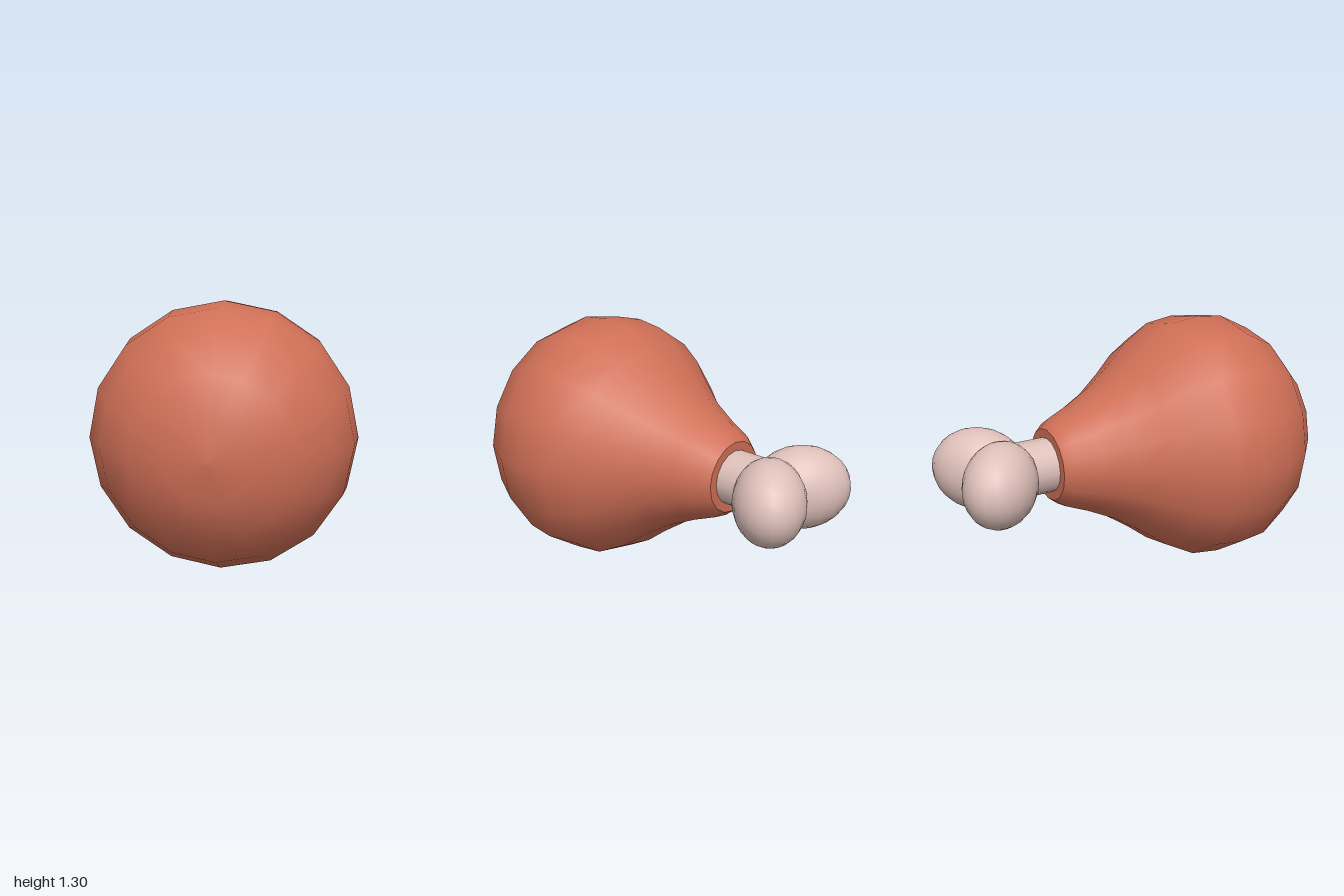
import * as THREE from 'three';

const meat = new THREE.MeshStandardMaterial({ color: 0xcf6f56 });
meat.name = 'roastedMeat';
const bone = new THREE.MeshStandardMaterial({ color: 0xdfc0ba });
bone.name = 'paleBone';

function addPart(parent, name, geometry, material) {
  const mesh = new THREE.Mesh(geometry, material);
  mesh.name = name;
  parent.add(mesh);
  return mesh;
}

export function createModel() {
  const model = new THREE.Group();
  model.name = 'drumstick';

  // Everything shares one axis, tilted slightly about the widest ring
  const axis = new THREE.Group();
  axis.name = 'drumstickAxis';
  axis.position.set(0, 0.655, 0.42);
  axis.rotation.y = 0.022;
  model.add(axis);

  // Pear-shaped meat: [radius, distance along the axis], narrow end first
  const profile = [
    [0.185, -0.89], [0.225, -0.84], [0.275, -0.72], [0.35, -0.57],
    [0.455, -0.42], [0.55, -0.3], [0.63, -0.155], [0.65, 0],
    [0.635, 0.155], [0.545, 0.33], [0.385, 0.48], [0.195, 0.56], [0, 0.58],
  ].map(([r, z]) => new THREE.Vector2(r, z));
  addPart(axis, 'meat', new THREE.LatheGeometry(profile, 16).rotateX(Math.PI / 2), meat);

  // Flat cut end around the bone
  const cut = addPart(axis, 'meatCutEnd', new THREE.CircleGeometry(0.185, 16), meat);
  cut.rotation.y = Math.PI;
  cut.position.z = -0.89;

  // Bone shaft
  const shaft = new THREE.CylinderGeometry(0.14, 0.14, 0.4, 16).rotateX(Math.PI / 2);
  addPart(axis, 'boneShaft', shaft, bone).position.z = -1.02;

  // Two egg-shaped knuckles splayed outward at the bone's end
  for (const side of [1, -1]) {
    const knob = addPart(axis, side > 0 ? 'leftKnuckle' : 'rightKnuckle',
      new THREE.SphereGeometry(1, 20, 14), bone);
    knob.scale.set(0.248, 0.21, 0.179);
    knob.rotation.y = side * 0.724;
    knob.position.set(side * 0.125, 0, -1.206);
  }

  return model;
}
